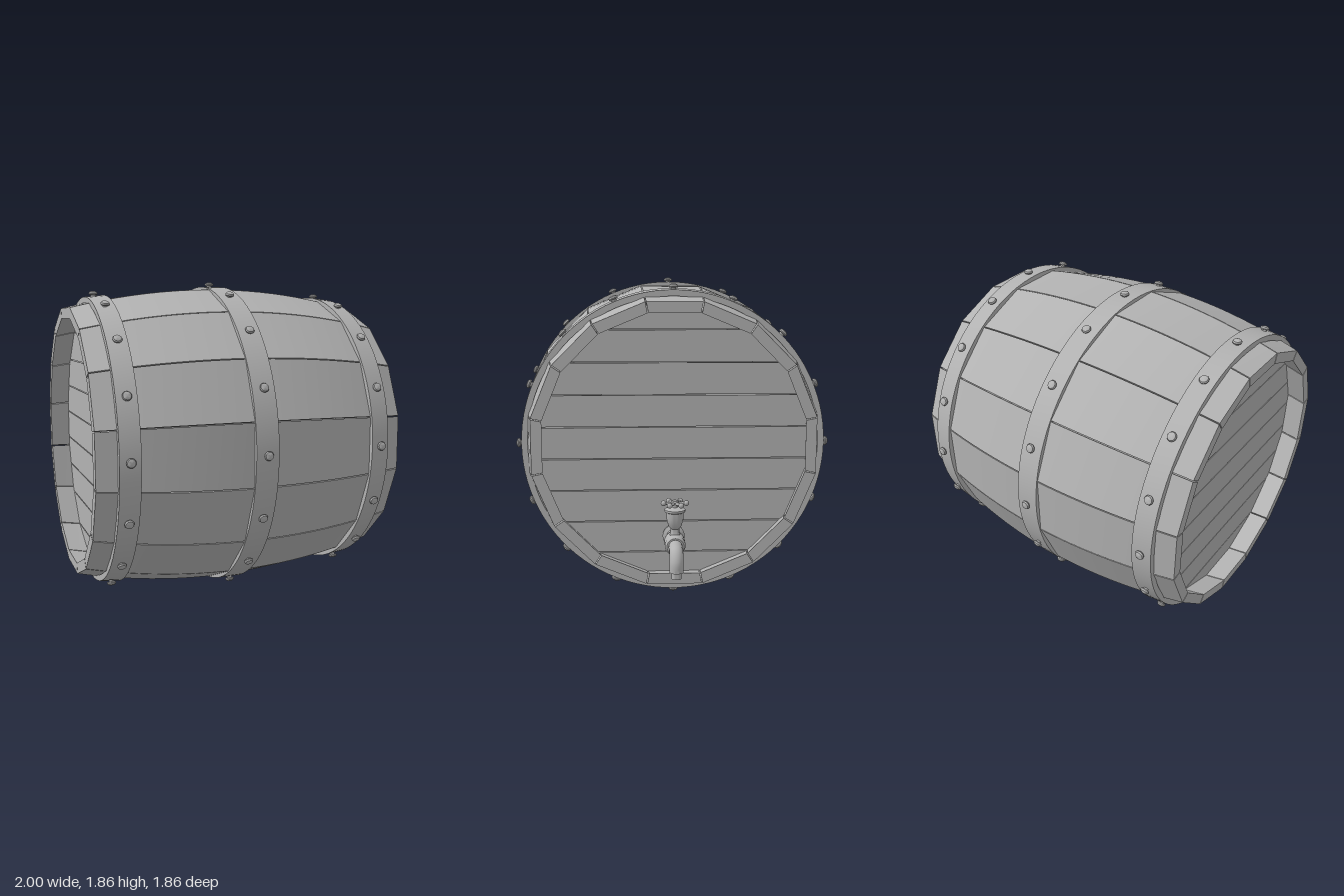
import * as THREE from 'three';
import { toCreasedNormals } from 'three/addons/utils/BufferGeometryUtils.js';

const COUNT = 16, STEP = Math.PI * 2 / COUNT;
const HALF = 0.88; // half the barrel length
const grey = new THREE.MeshStandardMaterial({ color: 0xb2b2b2 });
grey.name = 'plain grey';

function add(parent, name, geometry, x = 0, y = 0, z = 0) {
  const mesh = new THREE.Mesh(geometry, grey);
  mesh.name = name;
  mesh.position.set(x, y, z);
  parent.add(mesh);
  return mesh;
}

// Turned part from [radius, height] pairs, with crisp rims
function turned(points, segments = 32) {
  const lathe = new THREE.LatheGeometry(points.map(p => new THREE.Vector2(p[0], p[1])), segments);
  return toCreasedNormals(lathe, 0.6);
}

const bulge = x => 0.88 - 0.11 * (x / HALF) ** 2;

// Curved plank: flat across its width, swelling towards the middle
function staveGeometry() {
  const g = new THREE.BoxGeometry(HALF * 2, 1, 1, 20, 1, 1);
  const p = g.attributes.position;
  for (let i = 0; i < p.count; i++) {
    const r = bulge(p.getX(i)) - (p.getY(i) > 0 ? 0 : 0.06);
    p.setY(i, r);
    p.setZ(i, 2 * p.getZ(i) * (r * Math.tan(STEP / 2) - 0.003));
  }
  g.computeVertexNormals();
  return g;
}

// Lid plank cut to the round of the barrel
function lidPlank(y0, y1) {
  const g = new THREE.BoxGeometry(0.04, y1 - y0, 1, 1, 8, 1);
  g.translate(0, (y0 + y1) / 2, 0);
  const p = g.attributes.position;
  for (let i = 0; i < p.count; i++) {
    const w = Math.sqrt(Math.max(0, 0.765 ** 2 - p.getY(i) ** 2));
    p.setZ(i, 2 * p.getZ(i) * w);
  }
  g.computeVertexNormals();
  return g;
}

// Metal band with a ring of rivets; r0 and r1 are its outer radii at each rim
function hoop(x, width, inner, r0, r1) {
  const group = new THREE.Group();
  group.name = 'hoop';
  group.position.x = x;
  const h = width / 2;
  const band = add(group, 'hoopBand',
    turned([[inner, -h], [r0, -h], [r1, h], [inner, h], [inner, -h]], 96));
  band.rotation.z = -Math.PI / 2;
  const rivet = turned([[0.014, -0.02], [0.014, 0.006], [0.024, 0.008], [0.026, 0.014],
    [0.022, 0.022], [0.012, 0.027], [0, 0.028]], 16);
  const r = (r0 + r1) / 2;
  for (let i = 0; i < COUNT; i++) {
    const a = i * STEP;
    add(group, 'rivet', rivet, 0, r * Math.cos(a), r * Math.sin(a)).rotation.x = a;
  }
  return group;
}

function tap() {
  const group = new THREE.Group();
  group.name = 'tap';
  // Wall flange and body along the barrel axis
  const body = add(group, 'tapBody', turned([[0, 0.62], [0.06, 0.62], [0.062, 0.65], [0.04, 0.66],
    [0.036, 0.70], [0.052, 0.725], [0.056, 0.75], [0.056, 0.83], [0.046, 0.852], [0, 0.852]]));
  body.rotation.z = -Math.PI / 2;
  // Bent spout
  const path = new THREE.CatmullRomCurve3([[0.83, 0], [0.89, 0], [0.935, -0.012], [0.96, -0.05], [0.963, -0.1]]
    .map(([x, y]) => new THREE.Vector3(x, y, 0)));
  add(group, 'spout', new THREE.TubeGeometry(path, 24, 0.037, 20));
  add(group, 'spoutTip', turned([[0, -0.135], [0.026, -0.135], [0.026, -0.1], [0.037, -0.1], [0.037, -0.085]]), 0.963);
  // Valve stem and cup
  add(group, 'valveStem', turned([[0.034, 0.03], [0.024, 0.065], [0.024, 0.085], [0.036, 0.1], [0.046, 0.14],
    [0.046, 0.175], [0.056, 0.18], [0.056, 0.192], [0.03, 0.2], [0.014, 0.203], [0.014, 0.225],
    [0.022, 0.228], [0.018, 0.24], [0, 0.242]]), 0.79);
  // Spoked handle with knobs
  const handle = new THREE.Group();
  handle.name = 'tapHandle';
  handle.position.set(0.79, 0.225, 0);
  group.add(handle);
  const spoke = new THREE.CylinderGeometry(0.008, 0.008, 0.065, 10);
  const knob = new THREE.SphereGeometry(0.015, 12, 8);
  for (let i = 0; i < 6; i++) {
    const arm = new THREE.Group();
    arm.name = 'handleArm';
    arm.rotation.y = i * Math.PI / 3;
    handle.add(arm);
    add(arm, 'spoke', spoke, 0, 0, 0.032).rotation.x = Math.PI / 2;
    add(arm, 'knob', knob, 0, 0, 0.062);
  }
  group.position.set(0.12, -0.53, 0); // offset from the barrel centre
  return group;
}

export function createModel() {
  const model = new THREE.Group();
  model.name = 'barrel';
  const barrel = new THREE.Group();
  barrel.name = 'barrelBody';
  barrel.position.set(-0.12, 0.93, 0);
  model.add(barrel);

  // Staves
  const stave = staveGeometry();
  for (let i = 0; i < COUNT; i++) add(barrel, 'stave', stave).rotation.x = i * STEP;

  // Recessed lids of nine planks
  const pitch = 0.178;
  for (let i = -4; i <= 4; i++) {
    const y0 = i === -4 ? -0.755 : (i - 0.5) * pitch + 0.0025;
    const y1 = i === 4 ? 0.755 : (i + 0.5) * pitch - 0.0025;
    const plank = lidPlank(y0, y1);
    for (const side of [-1, 1]) add(barrel, 'lidPlank', plank, side * 0.74);
  }

  // Hoops
  barrel.add(hoop(0, 0.13, 0.87, 0.902, 0.902));
  barrel.add(hoop(-0.717, 0.11, 0.8, 0.834, 0.846));
  barrel.add(hoop(0.72, 0.11, 0.8, 0.846, 0.834));

  barrel.add(tap());
  return model;
}
